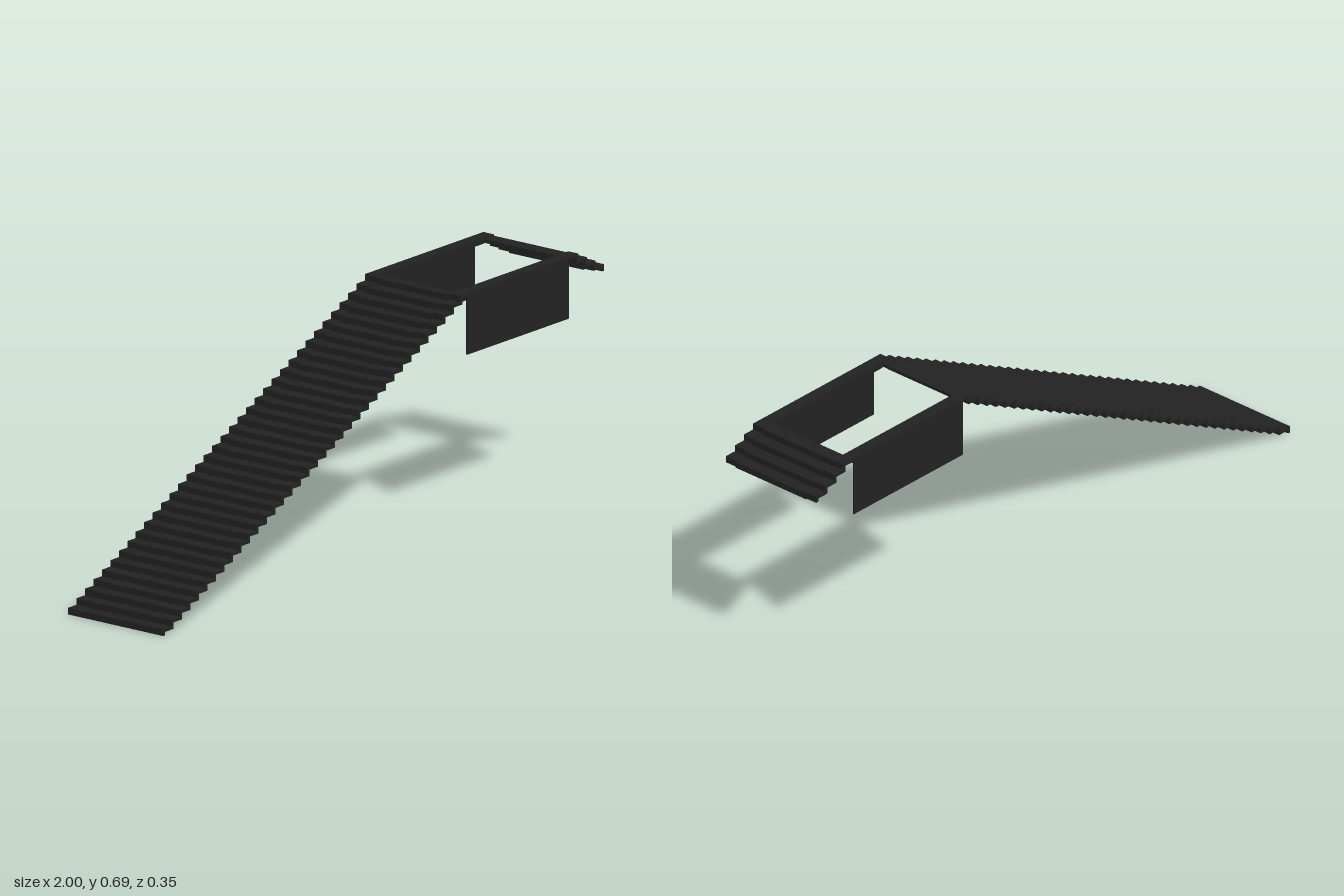
import * as THREE from 'three';

const RUN = 0.0385, THICK = 0.009;
const CLIMB = 36, DROP = 4;             // risers on each flight
const TOP_START = 0.3475, TOP_END = 0.8845;
const HOLE_START = 0.38, HOLE_END = 0.84;
const INNER = 0.135, OUTER = 0.173;

// Zigzag upper line of the long flight, ending on the landing at endX
function climbLine(top, endX) {
  const rise = top / CLIMB, pts = [[-1, 0]];
  for (let i = 0; i < CLIMB; i++) {
    const x = -1 + i * RUN, y = (i + 1) * rise;
    pts.push([x, y], [i === CLIMB - 1 ? endX : x + RUN, y]);
  }
  return pts;
}

// Zigzag upper line of the short flight, starting on the landing at startX
function dropLine(top, startX) {
  const rise = top / CLIMB, pts = [[startX, top]];
  for (let i = 0; i < DROP; i++) {
    const x = i === DROP - 1 ? 1 : TOP_END + i * RUN;
    pts.push([x, top - i * rise], [x, top - (i + 1) * rise]);
  }
  return pts;
}

// Folded sheet: the upper line and its offset copy, extruded across z
function foldedSheet(line, side, z0, z1) {
  const last = line.length - 1;
  const under = line.map(([x, y], i) => {
    const openEnd = side > 0 ? i === last : i === 0;
    const foot = side > 0 ? i === 0 : i === last;
    return [openEnd ? x : x + side * THICK, foot ? y : y - THICK];
  });
  const shape = new THREE.Shape(
    [...line, ...under.reverse()].map(([x, y]) => new THREE.Vector2(x, y)));
  const geo = new THREE.ExtrudeGeometry(shape, { depth: z1 - z0, bevelEnabled: false });
  return geo.translate(0, 0, z0);
}

export function createModel() {
  const group = new THREE.Group();
  const dark = new THREE.MeshStandardMaterial({ color: 0x222222 });
  dark.name = 'charcoal';

  const add = (name, geo) => {
    const mesh = new THREE.Mesh(geo, dark);
    mesh.name = name;
    group.add(mesh);
    return mesh;
  };
  const box = (name, x0, x1, y0, y1, z0, z1) =>
    add(name, new THREE.BoxGeometry(x1 - x0, y1 - y0, z1 - z0))
      .position.set((x0 + x1) / 2, (y0 + y1) / 2, (z0 + z1) / 2);

  // Three lengthwise strips per flight; the edge strips sit slightly higher
  const strips = [
    ['middle', -INNER, INNER, 0.69],
    ['left', -OUTER, -INNER, 0.694],
    ['right', INNER, OUTER, 0.694],
  ];
  for (const [name, z0, z1, top] of strips) {
    add(name + 'LongFlight', foldedSheet(climbLine(top, HOLE_START), 1, z0, z1));
    add(name + 'ShortFlight', foldedSheet(dropLine(top, HOLE_END), -1, z0, z1));
  }

  // Rims along the opening, with a thin skirt panel hanging from each outer edge
  for (const s of [-1, 1]) {
    const side = s > 0 ? 'front' : 'back';
    box(side + 'Rim', HOLE_START, HOLE_END, 0.677, 0.694, s * (s > 0 ? INNER : OUTER), s * (s > 0 ? OUTER : INNER));
    const a = s * OUTER, b = s * (OUTER - 0.005);
    box(side + 'SkirtPanel', HOLE_START, HOLE_END, 0.512, 0.677, Math.min(a, b), Math.max(a, b));
  }
  return group;
}
